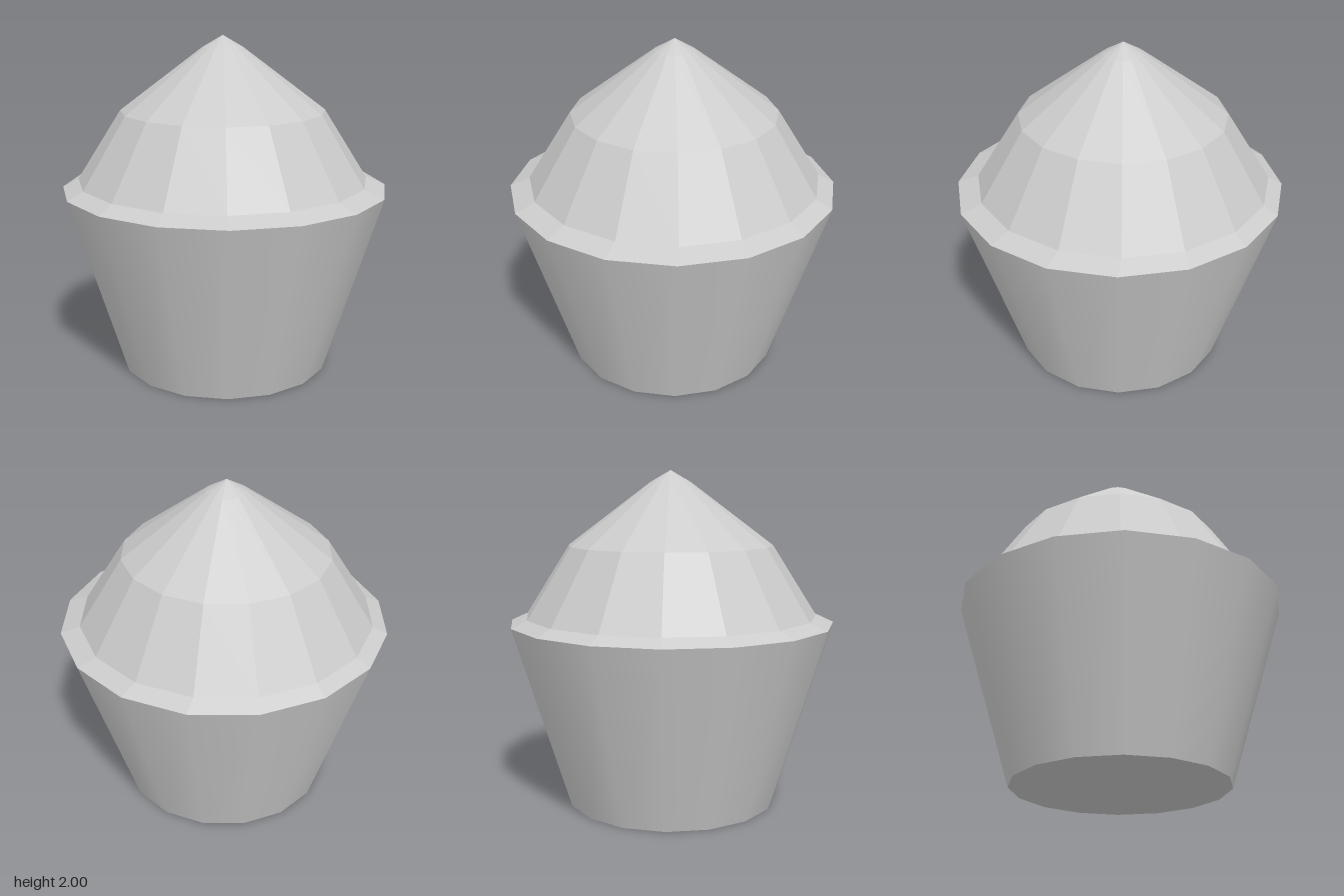
import * as THREE from 'three';

const SIDES = 16;

export function createModel() {
  const group = new THREE.Group();
  const smooth = new THREE.MeshStandardMaterial({ color: 0xcccccc });
  const flat = new THREE.MeshStandardMaterial({ color: 0xcccccc, flatShading: true });

  const add = (name, geometry, material) => {
    const mesh = new THREE.Mesh(geometry, material);
    mesh.name = name;
    group.add(mesh);
    return mesh;
  };

  // Tapered cup wall, smooth around
  const wall = new THREE.CylinderGeometry(0.975, 0.635, 1.1, SIDES, 1, true);
  add('cupWall', wall.translate(0, 0.55, 0), smooth);

  // Flat base, corners lined up with the wall
  const base = new THREE.CircleGeometry(0.635, SIDES);
  add('cupBase', base.rotateX(Math.PI / 2), smooth);

  // Faceted topping: sloping rim, dome and pointed tip
  const profile = [[0.975, 1.1], [0.872, 1.145], [0.61, 1.56], [0.12, 1.93], [0, 2]];
  const topping = new THREE.LatheGeometry(profile.map(([r, y]) => new THREE.Vector2(r, y)), SIDES);

  // Everything above the rim's outer edge sits slightly off centre
  const pos = topping.attributes.position;
  for (let i = 0; i < pos.count; i++) {
    if (pos.getY(i) > 1.12) pos.setXYZ(i, pos.getX(i) + 0.004, pos.getY(i), pos.getZ(i) - 0.02);
  }
  add('topping', topping, flat);

  return group;
}
